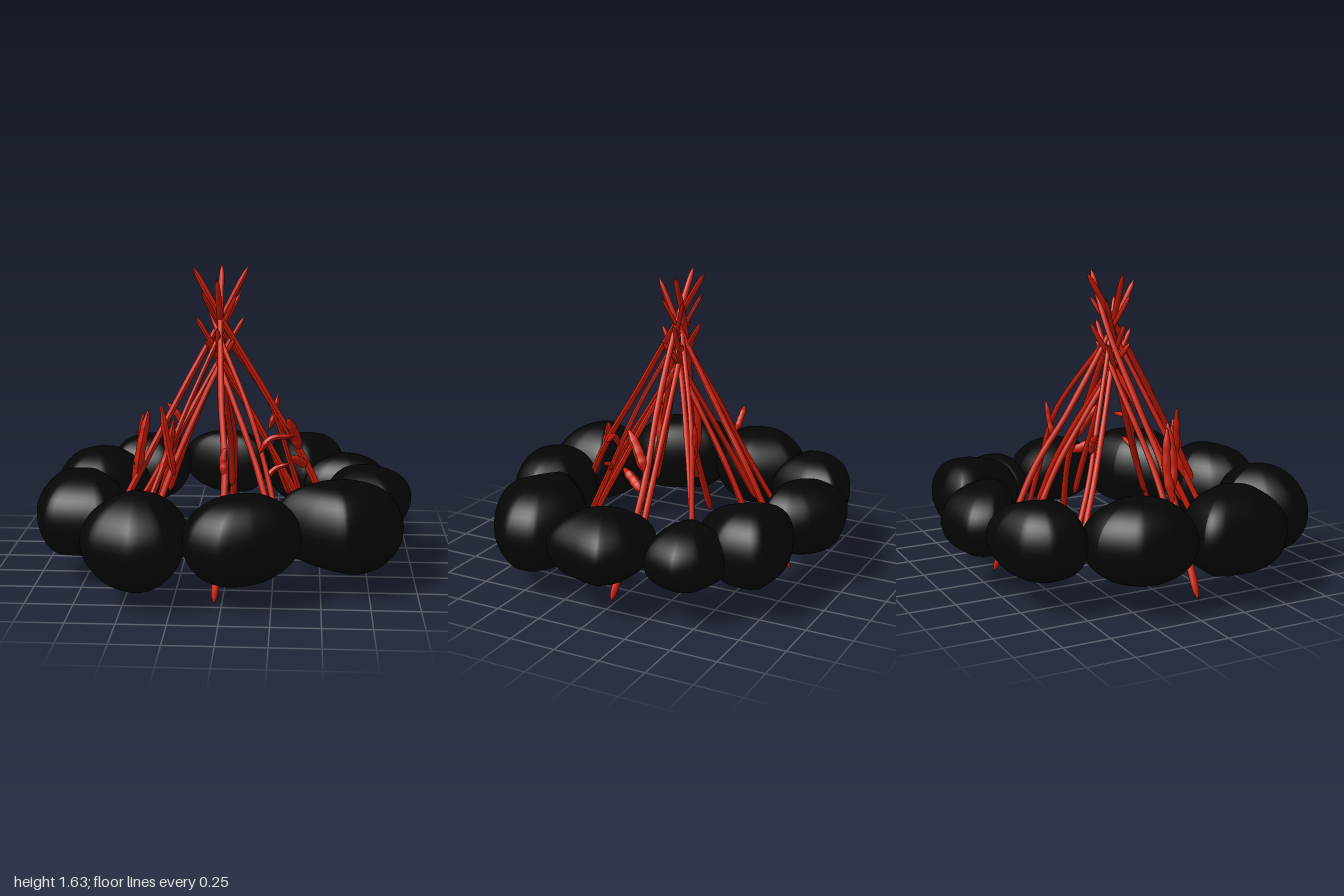
import * as THREE from 'three';

const stoneMat = new THREE.MeshStandardMaterial({ color: 0x050505, side: THREE.DoubleSide });
const woodMat = new THREE.MeshStandardMaterial({ color: 0xcc1c06 });
const V = (p) => new THREE.Vector3(...p);

// Boulder: a plan outline [x, z] swept through rings from bottom to top.
// topPow and lowPow set how boxy (small) or pointed (large) each half is;
// peak and keel [x, z] shift the crown and the underside sideways.
function stone([y0, y1, topPow, lowPow], peak, keel, outline) {
  const corners = outline.map(([x, z]) => new THREE.Vector3(x, 0, z));
  const curve = new THREE.CatmullRomCurve3(corners, true, 'catmullrom', 0.28);
  const N = 48, M = 22;
  const plan = curve.getPoints(N);
  const c = corners.reduce((s, p) => s.add(p), new THREE.Vector3()).divideScalar(corners.length);
  const geo = new THREE.SphereGeometry(1, N, M);
  const pos = geo.attributes.position;
  const h = (y1 - y0) / 2, mid = (y0 + y1) / 2;
  for (let j = 0; j <= M; j++) {
    const phi = Math.PI * (0.5 - j / M);
    const r = Math.pow(Math.max(Math.cos(phi), 0), phi > 0 ? topPow : lowPow);
    const [sx, sz] = phi > 0 ? peak : keel;
    for (let i = 0; i <= N; i++) {
      const p = plan[i];
      pos.setXYZ(j * (N + 1) + i,
        c.x + (p.x - c.x) * r + sx * (1 - r), mid + h * Math.sin(phi), c.z + (p.z - c.z) * r + sz * (1 - r));
    }
  }
  geo.computeVertexNormals();
  const mesh = new THREE.Mesh(geo, stoneMat);
  mesh.name = 'stone';
  return mesh;
}

// Stick: a tube whose ends are whittled to points, thinning upward with slight knots.
function stick(name, points, radius, blunt = 0.035) {
  const curve = new THREE.CatmullRomCurve3(points.map(V));
  const T = 40, R = 8;
  const geo = new THREE.TubeGeometry(curve, T, radius, R);
  const pos = geo.attributes.position, v = new THREE.Vector3();
  for (let i = 0; i <= T; i++) {
    const t = i / T, c = curve.getPointAt(t);
    const tip = Math.min(1, Math.min(t, 1 - t) / blunt);
    const k = (0.08 + 0.92 * Math.sqrt(tip)) * (1.15 - 0.3 * t + 0.05 * Math.sin(t * 23 + points[0][0] * 9));
    for (let j = 0; j <= R; j++) {
      const n = i * (R + 1) + j;
      v.fromBufferAttribute(pos, n).sub(c).multiplyScalar(k).add(c);
      pos.setXYZ(n, v.x, v.y, v.z);
    }
  }
  geo.computeVertexNormals();
  const mesh = new THREE.Mesh(geo, woodMat);
  mesh.name = name;
  return mesh;
}

export function createModel() {
  const model = new THREE.Group();
  model.name = 'campfire';

  // Ring of ten stones
  const ring = new THREE.Group();
  ring.name = 'stoneRing';
  const addStone = (shape, peak, keel, ...outline) => ring.add(stone(shape, peak, keel, outline));
  addStone([0.19, 0.57, 0.8, 0.9], [0, .06], [0, 0], [0, -.98], [.14, -.87], [.2, -.75], [.19, -.62], [.08, -.59], [-.08, -.6], [-.26, -.71], [-.32, -.81], [-.25, -.93]);
  addStone([0.16, 0.58, 0.8, 0.8], [0, 0], [0, 0], [.2, -.8], [.35, -.85], [.6, -.82], [.65, -.75], [.64, -.55], [.43, -.37], [.28, -.5], [.18, -.7]);
  addStone([0.18, 0.52, 0.95, 0.95], [0, 0], [0, 0], [.59, -.63], [.81, -.57], [.89, -.45], [.84, -.27], [.68, -.23], [.49, -.28], [.41, -.36], [.49, -.52]);
  addStone([0.18, 0.56, 1.05, 0.9], [-.03, 0], [0, .03], [.7, -.24], [.89, -.21], [1, -.1], [.99, .02], [.93, .22], [.86, .28], [.68, .25], [.56, .1], [.53, -.06], [.57, -.2]);
  addStone([0.12, 0.59, 0.7, 1], [-.04, 0], [.08, .03], [.47, .27], [.73, .21], [.9, .33], [.92, .5], [.81, .64], [.62, .74], [.43, .65], [.25, .5], [.35, .37]);
  addStone([0.12, 0.58, 0.8, 1], [.05, -.03], [-.03, 0], [.03, .48], [.27, .5], [.4, .67], [.34, .83], [.17, .92], [0, .95], [-.16, .86], [-.2, .72], [-.13, .58]);
  addStone([0.1, 0.59, 1.1, 1], [0, -.04], [0, .06], [-.48, .44], [-.29, .52], [-.18, .59], [-.19, .8], [-.26, .94], [-.43, .98], [-.64, .88], [-.71, .75], [-.66, .61]);
  addStone([0.16, 0.59, 0.8, 0.5], [.03, 0], [0, 0], [-.93, .05], [-.69, .06], [-.58, .21], [-.49, .43], [-.61, .6], [-.91, .56], [-1, .37], [-.99, .13]);
  addStone([0.16, 0.59, 0.85, 0.75], [0, 0], [0, 0], [-.8, -.47], [-.61, -.47], [-.46, -.22], [-.53, -.05], [-.69, .07], [-.9, .04], [-.98, -.13], [-.96, -.32]);
  addStone([0.17, 0.57, 0.85, 0.85], [0, 0], [0, 0], [-.45, -.86], [-.29, -.84], [-.28, -.64], [-.38, -.43], [-.53, -.42], [-.72, -.48], [-.74, -.67], [-.64, -.8]);
  model.add(ring);

  const wood = new THREE.Group();
  wood.name = 'sticks';
  // Four long poles reaching the ground
  [
    [[-.75, .01, .13], [-.47, .56, .11], [-.26, .96, .03], [-.06, 1.33, -.04], [.1, 1.64, -.06]],
    [[.67, .01, .02], [.43, .54, -.04], [.2, .95, -.01], [-.03, 1.34, 0], [-.2, 1.64, -.02]],
    [[-.04, .01, .71], [0, .6, .44], [-.03, .95, .24], [-.05, 1.37, 0], [-.05, 1.64, -.16]],
    [[-.02, .07, -.7], [0, .6, -.45], [-.03, .9, -.26], [-.05, 1.35, 0], [-.06, 1.59, .12]],
  ].forEach((p) => wood.add(stick('longPole', p, 0.018)));
  // Four diagonal poles
  [
    [[.44, .14, -.33], [.33, .5, -.28], [.22, .85, -.22], [-.03, 1.27, -.04], [-.15, 1.52, .05]],
    [[-.45, .2, -.46], [-.34, .55, -.3], [-.22, .88, -.18], [-.06, 1.27, -.03], [.04, 1.5, .05]],
    [[.31, .14, .44], [.22, .55, .28], [.11, .9, .16], [-.06, 1.28, 0], [-.15, 1.51, -.1]],
    [[-.5, .18, .41], [-.36, .55, .28], [-.22, .9, .15], [-.05, 1.28, .01], [.06, 1.5, -.09]],
  ].forEach((p) => wood.add(stick('diagonalPole', p, 0.014)));
  // Shorter inner poles, leaning parallel to the long ones
  [
    [[-.52, .3, .11], [-.35, .6, .09], [-.06, 1.13, -.02], [.08, 1.37, -.04]],
    [[.41, .3, -.02], [.28, .55, -.02], [-.04, 1.13, -.01], [-.18, 1.37, 0]],
    [[-.01, .3, .46], [-.01, .6, .32], [-.05, 1.13, 0], [-.05, 1.37, -.14]],
    [[-.01, .3, -.46], [-.01, .6, -.32], [-.05, 1.13, 0], [-.06, 1.33, .1]],
    [[.33, .3, -.29], [.22, .6, -.21], [-.03, 1.08, -.03], [-.13, 1.26, .06]],
    [[-.37, .3, -.34], [-.26, .62, -.21], [-.07, 1.08, -.03], [.03, 1.26, .05]],
    [[.25, .3, .36], [.15, .62, .22], [-.04, 1.08, .02], [-.12, 1.26, -.07]],
    [[-.4, .3, .32], [-.28, .62, .2], [-.07, 1.08, .02], [.03, 1.26, -.07]],
  ].forEach((p) => wood.add(stick('innerPole', p, 0.016)));
  // Broken side twigs
  [
    [[-.5, .5, .11], [-.47, .68, .13], [-.43, .88, .12], .026],
    [[-.52, .46, .11], [-.48, .64, .09], [-.46, .86, .1], .024],
    [[-.36, .55, .27], [-.31, .7, .23], [-.28, .86, .24], .02],
    [[-.28, .55, .24], [-.31, .7, .24], [-.35, .93, .22], .02],
    [[-.28, .72, -.25], [-.32, .79, -.26], [-.37, .84, -.26], .018],
    [[.38, .64, -.03], [.35, .75, .03], [.32, .84, .1], .028],
    [[.42, .55, -.03], [.38, .59, .04], [.34, .63, .12], .026],
    [[.17, .68, .24], [.23, .76, .24], [.36, .77, .21], .016],
    [[.21, .55, .28], [.25, .6, .26], [.33, .63, .25], .014],
    [[0, .6, .44], [-.01, .69, .42], [0, .75, .41], .02],
    [[.21, .7, -.24], [.24, .79, -.25], [.26, .9, -.26], .016],
  ].forEach(([a, b, c, r]) => wood.add(stick('twig', [a, b, c], r, 0.25)));
  model.add(wood);
  return model;
}
